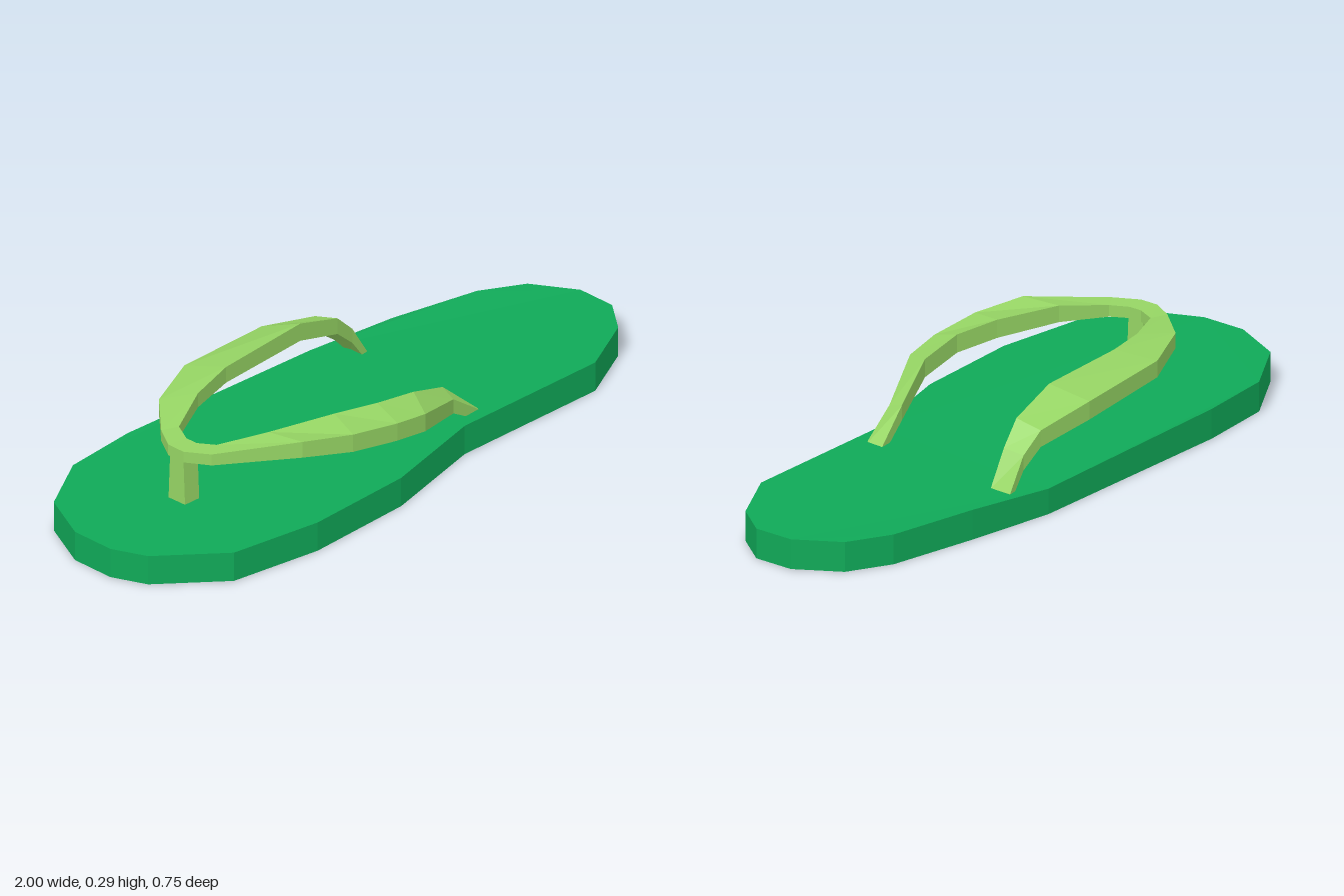
import * as THREE from 'three';

// Sole outline seen from above, as x, z
const OUTLINE = [
  [-1, -0.07], [-0.92, -0.235], [-0.73, -0.35], [-0.49, -0.375], [0.23, -0.375],
  [0.51, -0.33], [0.79, -0.275], [0.92, -0.205], [1, -0.075], [1, 0.05],
  [0.92, 0.155], [0.73, 0.255], [0.21, 0.26], [-0.13, 0.35], [-0.48, 0.37],
  [-0.77, 0.33], [-0.955, 0.175], [-1, 0.07],
];
const SOLE_HEIGHT = 0.09;

// Strap sections from the right end round the toe to the left end:
// outer x, y, z, inner x, y, z (both on the top face), thickness
const STRAP = [
  [0.335, 0.08, -0.323, 0.335, 0.08, -0.253, 0.03],
  [0.26, 0.17, -0.31, 0.27, 0.18, -0.247, 0.045],
  [0.19, 0.225, -0.315, 0.2, 0.245, -0.235, 0.05],
  [0.0, 0.258, -0.335, 0.04, 0.295, -0.222, 0.055],
  [-0.33, 0.27, -0.31, -0.28, 0.29, -0.195, 0.05],
  [-0.52, 0.27, -0.22, -0.43, 0.28, -0.155, 0.045],
  [-0.63, 0.26, -0.1, -0.58, 0.26, -0.08, 0.035],
  [-0.672, 0.258, -0.03, -0.61, 0.258, -0.02, 0.034],
  [-0.672, 0.258, 0.03, -0.61, 0.258, 0.02, 0.034],
  [-0.63, 0.26, 0.1, -0.58, 0.26, 0.07, 0.035],
  [-0.43, 0.285, 0.26, -0.45, 0.28, 0.145, 0.05],
  [-0.28, 0.27, 0.31, -0.25, 0.285, 0.205, 0.055],
  [-0.12, 0.25, 0.325, -0.11, 0.277, 0.235, 0.055],
  [0.0, 0.23, 0.315, 0.04, 0.252, 0.228, 0.055],
  [0.2, 0.165, 0.225, 0.21, 0.18, 0.172, 0.045],
  [0.32, 0.08, 0.217, 0.32, 0.08, 0.16, 0.03],
];

function makeSole() {
  const shape = new THREE.Shape(OUTLINE.map(([x, z]) => new THREE.Vector2(x, -z)));
  const geometry = new THREE.ExtrudeGeometry(shape, { depth: SOLE_HEIGHT, bevelEnabled: false });
  geometry.rotateX(-Math.PI / 2);
  // Slight dip in the top rim on the straight side
  const p = geometry.attributes.position;
  for (let i = 0; i < p.count; i++) {
    if (p.getY(i) > 0.05 && Math.hypot(p.getX(i) - 0.23, p.getZ(i) + 0.375) < 0.01) p.setY(i, 0.077);
  }
  geometry.computeVertexNormals();
  return geometry;
}

// Four-cornered band lofted through the strap sections
function makeStrap() {
  const positions = [];
  const index = [];
  for (const [ox, oy, oz, ix, iy, iz, t] of STRAP) {
    positions.push(ox, oy, oz, ix, iy, iz, ix, iy - t, iz, ox, oy - t, oz);
  }
  for (let s = 0; s < STRAP.length - 1; s++) {
    for (let k = 0; k < 4; k++) {
      const a = s * 4 + k;
      const b = s * 4 + (k + 1) % 4;
      index.push(a, a + 4, b, b, a + 4, b + 4);
    }
  }
  const e = (STRAP.length - 1) * 4;
  index.push(0, 1, 2, 0, 2, 3, e, e + 2, e + 1, e, e + 3, e + 2);
  const geometry = new THREE.BufferGeometry();
  geometry.setAttribute('position', new THREE.Float32BufferAttribute(positions, 3));
  geometry.setIndex(index);
  geometry.computeVertexNormals();
  return geometry;
}

// Square post that widens slightly towards the sole
function makeToePost() {
  const geometry = new THREE.BoxGeometry(0.056, 0.16, 0.052);
  geometry.translate(-0.64, 0.16, 0);
  const p = geometry.attributes.position;
  for (let i = 0; i < p.count; i++) {
    if (p.getY(i) < 0.16) p.setZ(i, p.getZ(i) * 1.27);
  }
  geometry.computeVertexNormals();
  return geometry;
}

export function createModel() {
  const group = new THREE.Group();
  group.name = 'sandal';
  const green = new THREE.MeshStandardMaterial({ color: 0x10a958, flatShading: true });
  const lime = new THREE.MeshStandardMaterial({ color: 0x96d564, flatShading: true });
  const add = (name, geometry, material) => {
    const mesh = new THREE.Mesh(geometry, material);
    mesh.name = name;
    group.add(mesh);
  };
  add('sole', makeSole(), green);
  add('strap', makeStrap(), lime);
  add('toePost', makeToePost(), lime);
  return group;
}
